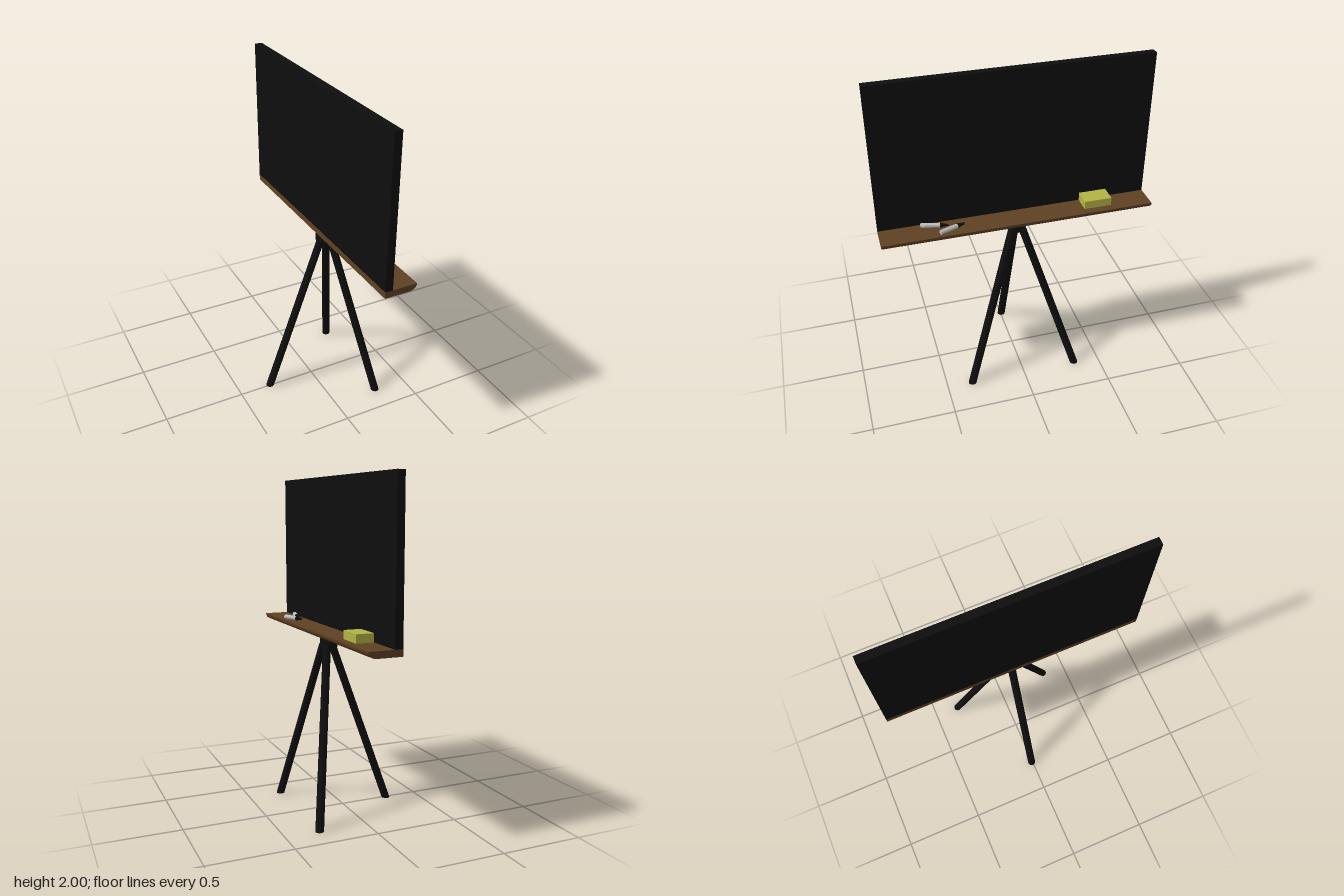
import * as THREE from 'three';

const mat = (name, color) => {
  const m = new THREE.MeshStandardMaterial({ color });
  m.name = name;
  return m;
};

export function createModel() {
  const black = mat('black', 0x0e0e0e);
  const wood = mat('brown wood', 0x5f4122);
  const yellow = mat('sponge yellow', 0xb4b444);
  const silver = mat('silver', 0xbcbcbc);
  silver.flatShading = true;

  const root = new THREE.Group();
  const add = (name, geo, material, x = 0, y = 0, z = 0, parent = root) => {
    const mesh = new THREE.Mesh(geo, material);
    mesh.name = name;
    mesh.position.set(x, y, z);
    parent.add(mesh);
    return mesh;
  };

  // Upright writing panel
  add('board', new THREE.BoxGeometry(0.046, 0.887, 1.608), black, 0.043, 1.5565, 0);

  // Tray: flat on top, rounded under its front edge
  const profile = new THREE.Shape();
  profile.moveTo(0.02, 1.074);
  profile.lineTo(0.165, 1.074);
  profile.bezierCurveTo(0.195, 1.074, 0.216, 1.088, 0.216, 1.113);
  profile.lineTo(0.02, 1.113);
  const trayGeo = new THREE.ExtrudeGeometry(profile, { depth: 1.608, bevelEnabled: false, curveSegments: 8 });
  add('tray', trayGeo, wood, 0, 0, -0.804);

  // Tripod hub and splayed legs, each cut level at the floor
  add('hub', new THREE.CylinderGeometry(0.052, 0.052, 0.074, 24), black, 0.09, 1.037, 0);
  const leg = (name, foot, top) => {
    const height = 1.02;
    const geo = new THREE.CylinderGeometry(0.024, 0.025, height, 20);
    geo.translate(0, height / 2, 0);
    const shear = new THREE.Matrix4().set(
      1, (top[0] - foot[0]) / height, 0, foot[0],
      0, 1, 0, 0,
      0, (top[1] - foot[1]) / height, 1, foot[1],
      0, 0, 0, 1);
    geo.applyMatrix4(shear);
    add(name, geo, black);
  };
  leg('backLeg', [-0.297, -0.006], [0.072, 0]);
  leg('leftLeg', [0.29, 0.341], [0.114, 0.028]);
  leg('rightLeg', [0.292, -0.338], [0.114, -0.028]);

  // Sponge
  add('sponge', new THREE.BoxGeometry(0.105, 0.05, 0.165), yellow, 0.118, 1.138, -0.48);

  // Markers lying on the tray, pointing from tail to tip
  const marker = (name, tail, tip) => {
    const g = new THREE.Group();
    g.name = name;
    const dir = new THREE.Vector3(tip[0] - tail[0], 0, tip[1] - tail[1]);
    const length = dir.length();
    g.position.set(tail[0], 1.13, tail[1]);
    g.quaternion.setFromUnitVectors(new THREE.Vector3(0, 1, 0), dir.normalize());
    const body = length * 0.7;
    add('markerBody', new THREE.CylinderGeometry(0.014, 0.014, body, 10), silver, 0, body / 2, 0, g);
    const collar = [[0, 0], [0.014, 0], [0.013, 0.01], [0.008, 0.026], [0.006, length - body], [0, length - body]]
      .map(([r, y]) => new THREE.Vector2(r, y));
    add('markerTip', new THREE.LatheGeometry(collar, 12), black, 0, body, 0, g);
    root.add(g);
  };
  marker('firstMarker', [0.097, 0.565], [0.134, 0.41]);
  marker('secondMarker', [0.194, 0.468], [0.141, 0.322]);

  return root;
}
